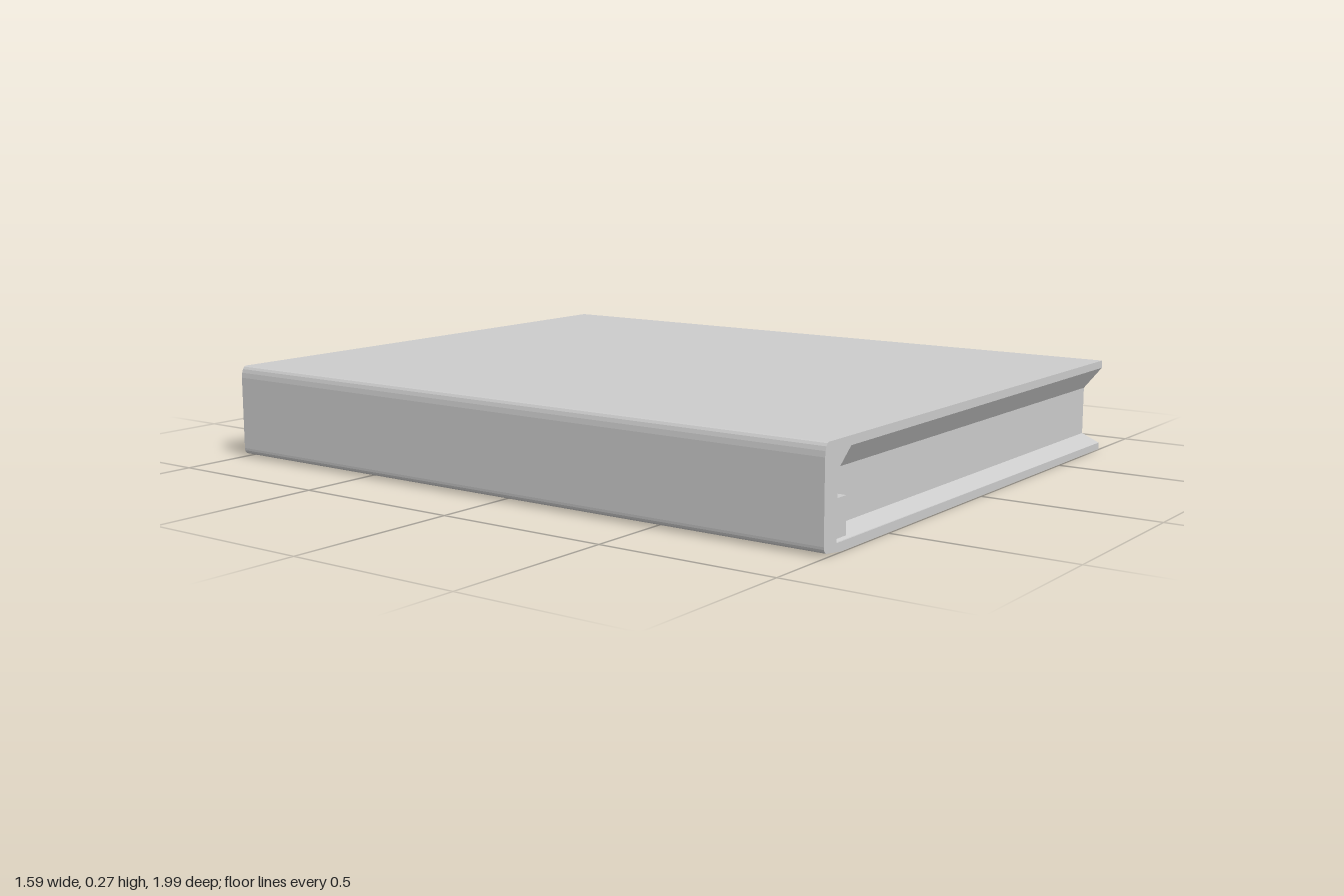
import * as THREE from 'three';
import { ConvexGeometry } from 'three/addons/geometries/ConvexGeometry.js';

const W = 0.795, L = 0.997;               // half width and half length of the covers
const INSET = 0.038;                      // how far the pages sit behind the cover edges
const PX = W - INSET, PZ = L - INSET;     // page faces

export function createModel() {
  const book = new THREE.Group();
  book.name = 'book';
  const mat = new THREE.MeshStandardMaterial({ color: 0xcccccc, flatShading: true });
  const add = (name, geo, x = 0, y = 0, z = 0) => {
    const mesh = new THREE.Mesh(geo, mat);
    mesh.name = name;
    mesh.position.set(x, y, z);
    book.add(mesh);
    return mesh;
  };

  // Both covers and the spine: one C-shaped profile run along z
  const c = new THREE.Shape();
  c.moveTo(W, 0.004);
  c.lineTo(-0.72, 0.004);
  c.lineTo(-0.785, 0.012);
  c.quadraticCurveTo(-0.797, 0.015, -0.797, 0.03);
  c.lineTo(-0.797, 0.24);
  c.quadraticCurveTo(-0.795, 0.273, -0.78, 0.274);
  c.lineTo(W, 0.274);
  c.lineTo(W, 0.252);
  c.lineTo(-0.68, 0.25);
  c.lineTo(-0.74, 0.2);
  c.lineTo(-0.74, 0.028);
  c.lineTo(W, 0.024);
  c.closePath();
  const cover = new THREE.ExtrudeGeometry(c, { depth: 2 * L, bevelEnabled: false, curveSegments: 4 });
  add('coversAndSpine', cover, 0, 0, -L);

  // Page block
  const pages = new THREE.BoxGeometry(PX + 0.76, 0.235, 2 * PZ);
  add('pages', pages, (PX - 0.76) / 2, 0.139, 0);

  // Sloped strip from a cover's edge in to the pages. It runs from a to b along
  // the edge; ma and mb draw its page side in, to mitre the corners.
  const strip = (name, top, a, b, ma, mb, place) => {
    const yOut = top ? 0.252 : 0.024, yIn = top ? 0.193 : 0.055;
    const pts = [[a, ma], [b, -mb]].flatMap(([t, m]) => [
      place(t, yOut, 0), place(t + m, yOut, INSET), place(t + m, yIn, INSET)
    ]);
    add(name, new ConvexGeometry(pts));
  };

  // Strips along one side, broken by notches of half width h
  const side = (name, top, from, to, mFrom, mTo, notches, h, place) => {
    const cuts = [from, ...notches.flatMap(n => [n - h, n + h]), to];
    for (let i = 0; i < cuts.length; i += 2) {
      strip(name, top, cuts[i], cuts[i + 1],
        i === 0 ? mFrom : 0, i === cuts.length - 2 ? mTo : 0, place);
    }
  };

  const front = (t, y, d) => new THREE.Vector3(t, y, L - d);
  const back = (t, y, d) => new THREE.Vector3(t, y, d - L);
  const fore = (t, y, d) => new THREE.Vector3(W - d, y, t);
  for (const top of [true, false]) {
    const s = top ? 'upper' : 'lower';
    side(s + 'FrontSlope', top, -0.74, W, 0, INSET, [], 0, front);
    side(s + 'BackSlope', top, -0.74, W, 0, INSET, [-0.4, 0, 0.4], 0.035, back);
    side(s + 'ForeSlope', top, -L, L, INSET, INSET, top ? [0.04] : [], 0.05, fore);
  }

  // Small step beside the spine at the front
  add('spineStep', new THREE.BoxGeometry(0.06, 0.106, 0.03), -0.71, 0.077, PZ + 0.012);

  return book;
}
